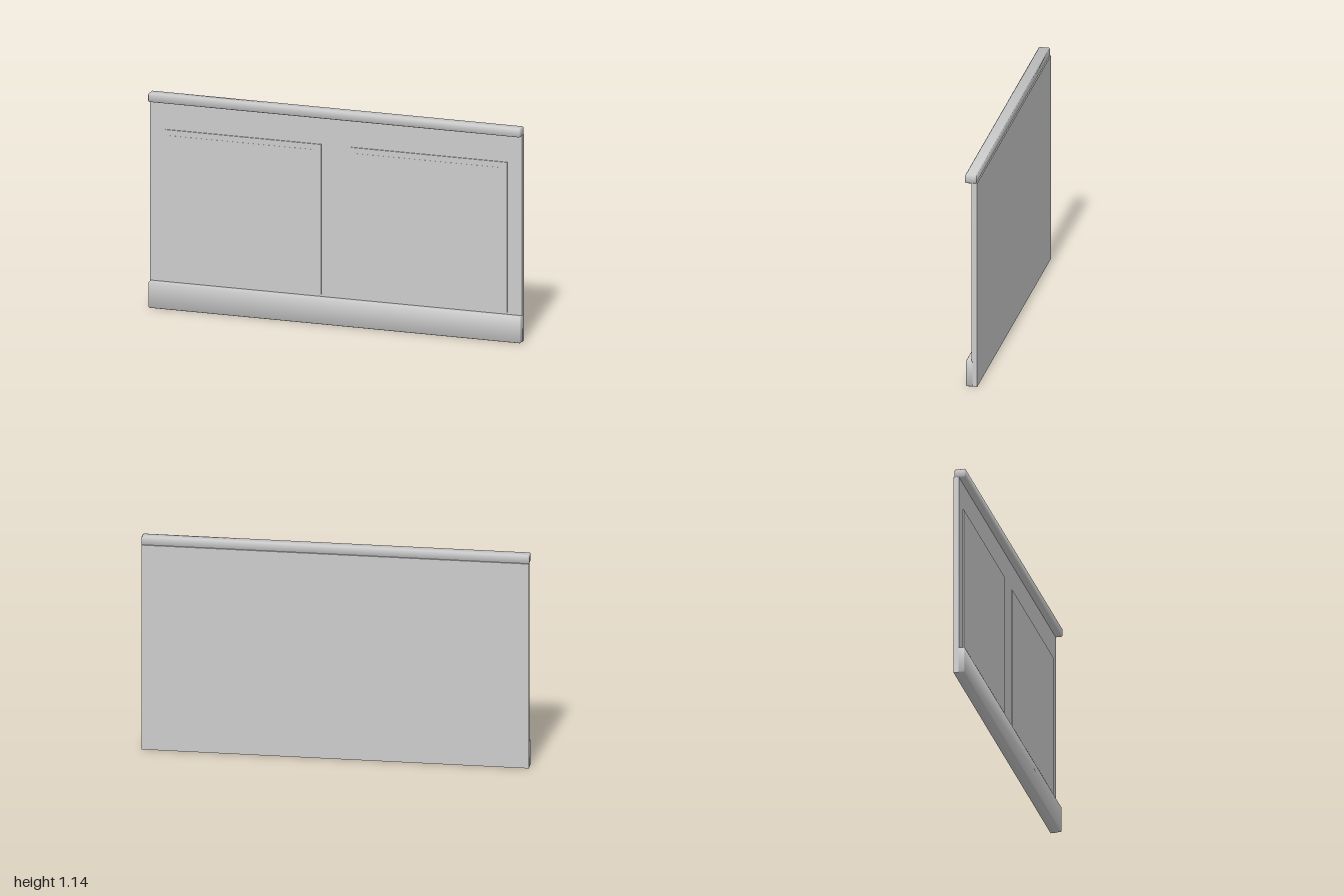
import * as THREE from 'three';
import { ConvexGeometry } from 'three/addons/geometries/ConvexGeometry.js';

// Box with a small chamfer on every edge and softly shaded faces.
function chamferedBox(w, h, d, c) {
  const half = [w / 2, h / 2, d / 2];
  const points = [];
  for (const sx of [-1, 1]) for (const sy of [-1, 1]) for (const sz of [-1, 1]) {
    const signs = [sx, sy, sz];
    for (let axis = 0; axis < 3; axis++) {
      points.push(new THREE.Vector3(...signs.map((s, i) => s * (half[i] - (i === axis ? 0 : c)))));
    }
  }
  const geometry = new ConvexGeometry(points);
  const pos = geometry.attributes.position;
  for (let i = 0; i < pos.count; i++) {
    const p = [pos.getX(i), pos.getY(i), pos.getZ(i)];
    const n = new THREE.Vector3(...p.map((v, k) =>
      Math.sign(v) * (Math.abs(Math.abs(v) - half[k]) < 1e-5 ? 1 : 0.39))).normalize();
    geometry.attributes.normal.setXYZ(i, n.x, n.y, n.z);
  }
  return geometry;
}

export function createModel() {
  const group = new THREE.Group();
  const paint = new THREE.MeshStandardMaterial({ color: 0xcccccc });
  paint.name = 'greyPaint';

  const add = (name, geometry, x, y, z) => {
    const mesh = new THREE.Mesh(geometry, paint);
    mesh.name = name;
    mesh.position.set(x, y, z);
    group.add(mesh);
  };

  // Flat wall board
  add('wallBoard', new THREE.BoxGeometry(1.998, 1.1, 0.028), 0, 0.55, -0.017);

  // Skirting along the foot and rail along the top
  add('baseboard', chamferedBox(2, 0.14, 0.036, 0.004), 0, 0.07, 0.009);
  add('topRail', chamferedBox(2, 0.046, 0.058, 0.005), 0, 1.12, 0.003);

  // Two raised panels, each with a slightly prouder field
  for (const side of [-1, 1]) {
    const prefix = side < 0 ? 'right' : 'left';
    add(prefix + 'PanelBorder', new THREE.BoxGeometry(0.84, 0.8, 0.008), side * 0.5, 0.55, -0.001);
    add(prefix + 'PanelField', new THREE.BoxGeometry(0.78, 0.74, 0.008), side * 0.5, 0.55, 0);
  }
  return group;
}
